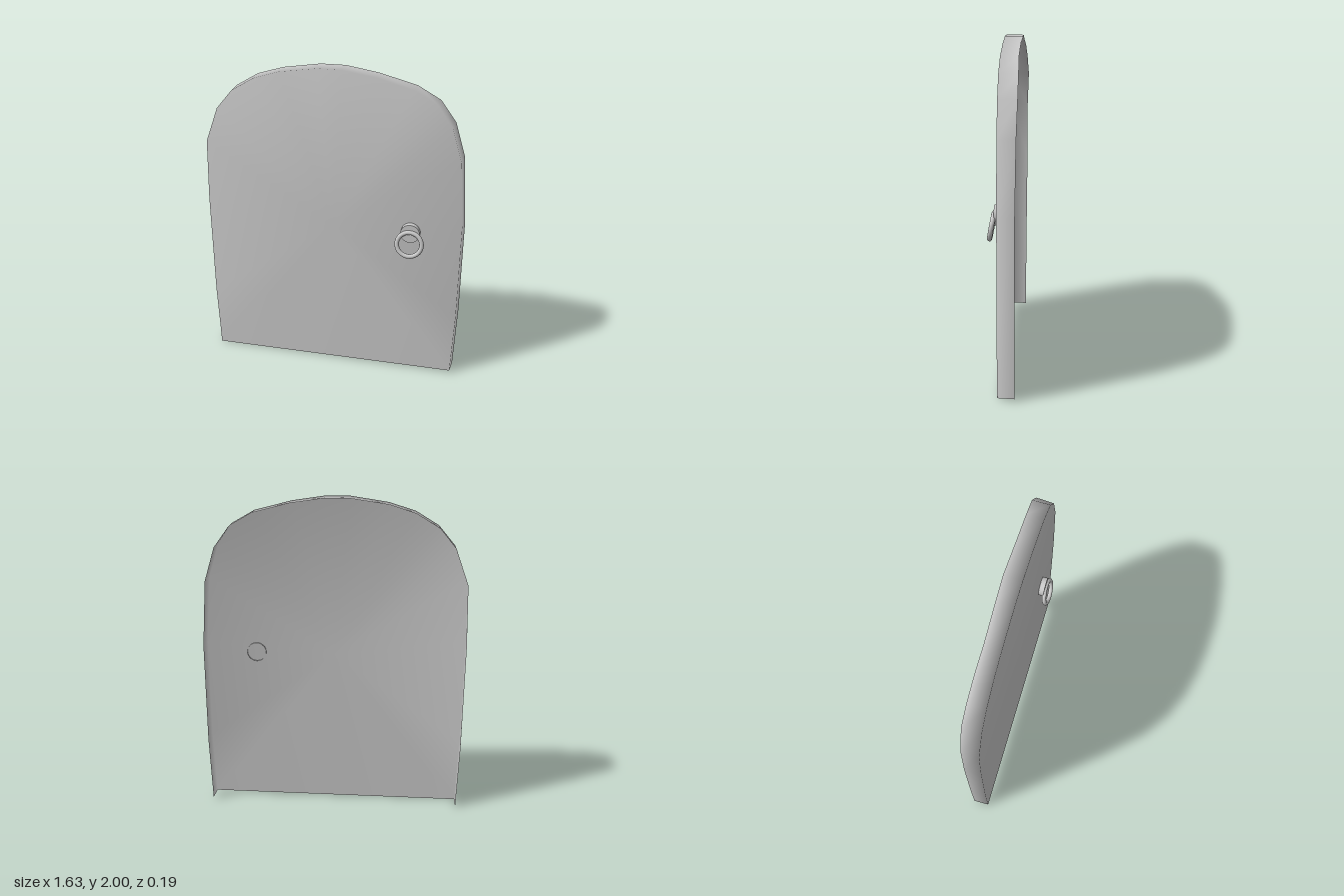
import * as THREE from 'three';

const material = new THREE.MeshStandardMaterial({ color: 0xcccccc, side: THREE.DoubleSide });

// Arched outline from the -x foot over the top to the +x foot: x, y, z of the rim's back edge
const OUTLINE = [
  [-0.80, 0.0, -0.08], [-0.815, 0.42, -0.08], [-0.82, 1.1, -0.085], [-0.81, 1.49, -0.085],
  [-0.73, 1.71, -0.095], [-0.63, 1.83, -0.09], [-0.49, 1.915, -0.085], [-0.33, 1.965, -0.08],
  [-0.1, 2.0, -0.085], [0.05, 2.0, -0.09], [0.25, 1.97, -0.085], [0.48, 1.91, -0.085],
  [0.62, 1.83, -0.09], [0.715, 1.7, -0.09], [0.78, 1.49, -0.085], [0.81, 1.07, -0.08],
  [0.81, 0.43, -0.08], [0.795, 0.015, -0.08],
];
const FRONT_Z = 0.02;

// Hollow door: a front sheet with a rim folded back, open behind and below
function doorGeometry() {
  const n = OUTLINE.length;
  const positions = [];
  const index = [];
  for (const [x, y, back] of OUTLINE) {
    const inset = x > 0.7 ? 0.008 : 0.002;
    positions.push(x - Math.sign(x) * inset, y, FRONT_Z, x, y, back);
  }
  positions.push(0, 1, FRONT_Z);
  for (let i = 0; i < n - 1; i++) {
    const a = 2 * i, b = a + 2;
    index.push(2 * n, b, a);
    index.push(a, b, a + 1, b, b + 1, a + 1);
  }
  index.push(2 * n, 0, 2 * (n - 1));
  const g = new THREE.BufferGeometry();
  g.setAttribute('position', new THREE.Float32BufferAttribute(positions, 3));
  g.setIndex(index);
  g.computeVertexNormals();
  return g;
}

function addPart(group, name, geometry, x, y, z) {
  const mesh = new THREE.Mesh(geometry, material);
  mesh.name = name;
  mesh.position.set(x, y, z);
  group.add(mesh);
  return mesh;
}

export function createModel() {
  const model = new THREE.Group();
  model.name = 'door';
  addPart(model, 'doorPanel', doorGeometry(), 0, 0, 0);

  // Handle: a round boss passing through the panel, with a hanging ring
  const handle = new THREE.Group();
  handle.name = 'handle';
  const boss = new THREE.CylinderGeometry(0.06, 0.06, 0.043, 32, 1, true).rotateX(Math.PI / 2);
  addPart(handle, 'handleBoss', boss, 0.49, 1.01, 0.0325);
  addPart(handle, 'handleBossFace', new THREE.CircleGeometry(0.06, 32), 0.49, 1.01, 0.054);
  const ring = addPart(handle, 'handleRing', new THREE.TorusGeometry(0.077, 0.014, 12, 40), 0.49, 0.945, 0.068);
  ring.rotation.x = -0.17;
  model.add(handle);
  return model;
}
